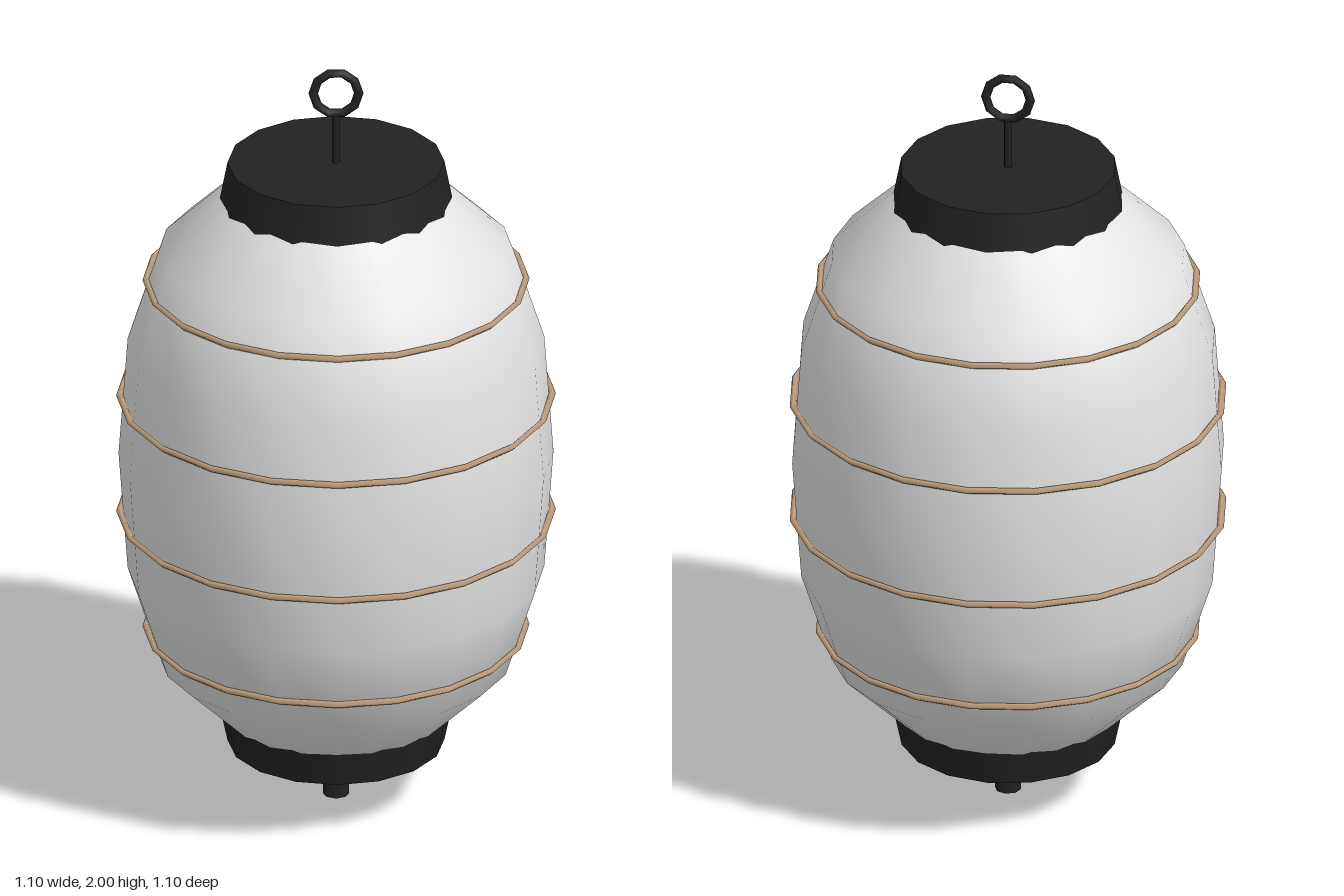
import * as THREE from 'three';

export function createModel() {
  const lantern = new THREE.Group();
  lantern.name = 'paperLantern';

  const material = (name, color) => {
    const m = new THREE.MeshStandardMaterial({ color });
    m.name = name;
    return m;
  };
  const paper = material('whitePaper', 0xe4e4e4);
  const bamboo = material('bamboo', 0xc4a484);
  const black = material('blackLacquer', 0x222222);

  const add = (name, geometry, mat, y) => {
    const mesh = new THREE.Mesh(geometry, mat);
    mesh.name = name;
    mesh.position.y = y;
    lantern.add(mesh);
    return mesh;
  };

  // Paper shade: profile mirrored about its widest height
  const middle = 0.943;
  const half = [[0.545, 0], [0.522, 0.317], [0.445, 0.555], [0.275, 0.718]];
  const profile = [
    ...half.slice(1).reverse().map(([r, h]) => new THREE.Vector2(r, -h)),
    ...half.map(([r, h]) => new THREE.Vector2(r, h)),
  ];
  const shade = new THREE.LatheGeometry(profile, 20);
  add('paperShade', shade, paper, middle);

  // Bamboo hoops
  for (const [r, y] of [[0.476, 0.465], [0.542, 0.783], [0.542, 1.102], [0.476, 1.42]]) {
    const hoop = new THREE.TorusGeometry(r, 0.009, 4, 20).rotateX(Math.PI / 2);
    add('bambooHoop', hoop, bamboo, y);
  }

  // End caps, wider towards the shade
  add('topCap', new THREE.CylinderGeometry(0.272, 0.292, 0.103, 16), black, 1.693);
  add('bottomCap', new THREE.CylinderGeometry(0.292, 0.272, 0.095, 16), black, 0.196);

  // Hanging rod and ring
  add('hangingRod', new THREE.CylinderGeometry(0.01, 0.01, 0.14, 8), black, 1.81);
  add('hangingRing', new THREE.TorusGeometry(0.057, 0.012, 6, 10), black, 1.934);

  // Peg below
  add('bottomPeg', new THREE.CylinderGeometry(0.033, 0.033, 0.16, 8), black, 0.08);

  return lantern;
}
